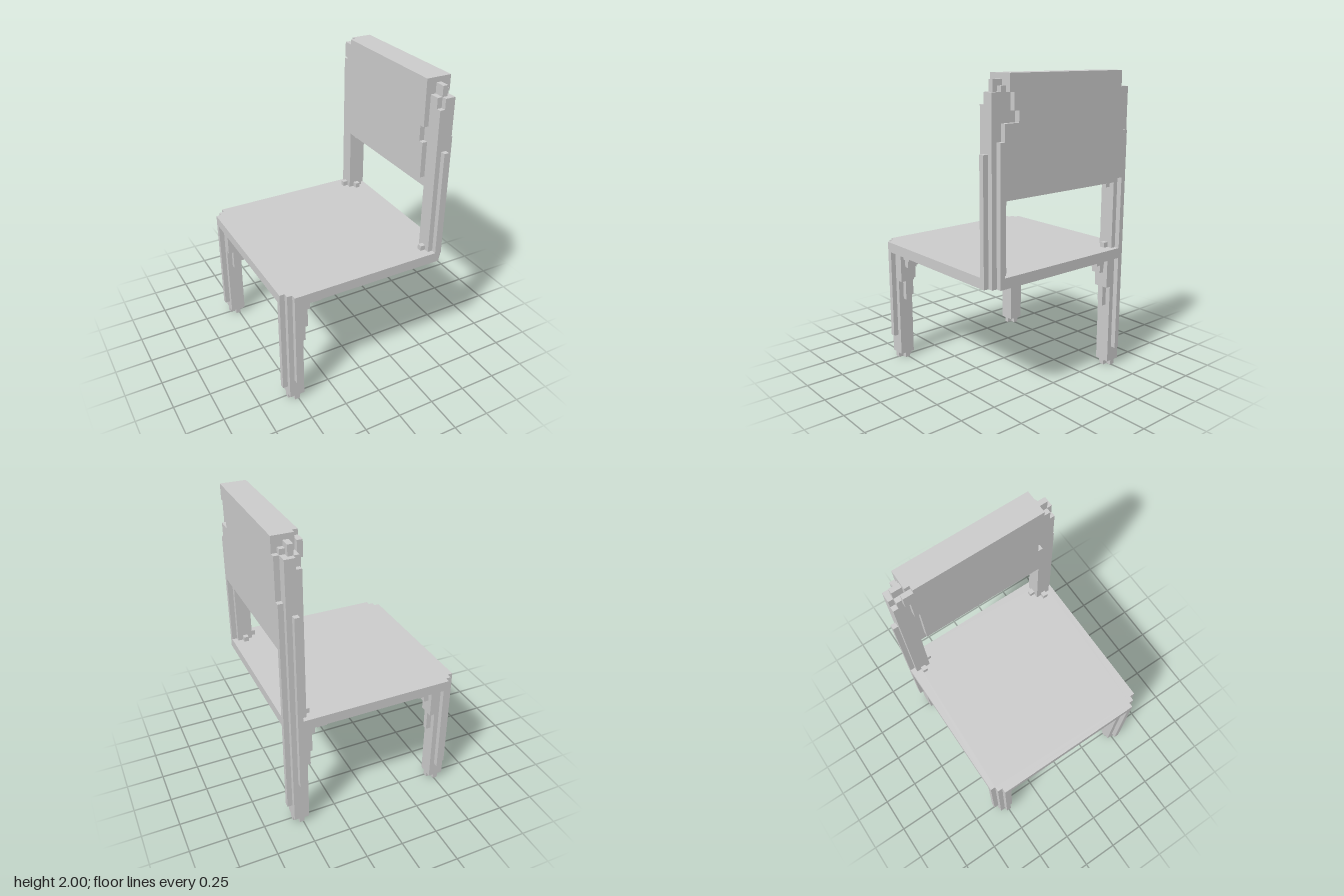
import * as THREE from 'three';

const U = 2 / 59; // edge of one cell
const N = 35;     // cells across the footprint
const material = new THREE.MeshStandardMaterial({ color: 0xcccccc, flatShading: true });

// Box given by cell ranges, counted from the -x, bottom and -z sides
function block(parent, name, x0, x1, y0, y1, z0, z1) {
  const mesh = new THREE.Mesh(new THREE.BoxGeometry((x1 - x0) * U, (y1 - y0) * U, (z1 - z0) * U), material);
  mesh.position.set(((x0 + x1 - N) / 2) * U, ((y0 + y1) / 2) * U, ((z0 + z1 - N) / 2) * U);
  mesh.name = name;
  parent.add(mesh);
}

// Returns a block maker whose x and z cells are counted inward from one corner
function cornerMaker(parent, sx, sz) {
  const range = (s, a, b) => (s < 0 ? [a, b] : [N - b, N - a]);
  return (name, x0, x1, y0, y1, z0, z1) =>
    block(parent, name, ...range(sx, x0, x1), y0, y1, ...range(sz, z0, z1));
}

function makeLeg(name, sx, sz, xRibStart, zRibStart) {
  const leg = new THREE.Group();
  leg.name = name;
  const add = cornerMaker(leg, sx, sz);
  // Shaft on a plus-shaped foot
  add('shaft', 1, 4, 1, 23, 1, 4);
  add('foot', 1, 4, 0, 1, 2, 3);
  add('footFront', 2, 3, 0, 1, 1, 2);
  add('footBack', 2, 3, 0, 1, 3, 4);
  // Outer ribs
  add('outerRib', 0, 1, xRibStart, 23, 2, 3);
  add('outerRib', 2, 3, zRibStart, 23, 0, 1);
  // Stepped brackets along both inner sides: [inner from, inner to, bottom, side from, side to]
  const steps = [[4, 5, 13, 2, 3], [4, 5, 17, 1, 2], [4, 5, 17, 3, 4], [5, 6, 20, 2, 4], [6, 8, 22, 1, 4]];
  for (const [a, b, y, c, d] of steps) {
    add('bracket', a, b, y, 23, c, d);
    add('bracket', c, d, y, 23, a, b);
  }
  add('bracketCorner', 4, 5, 20, 23, 4, 5);
  add('bracketCorner', 4, 6, 22, 23, 4, 6);
  return leg;
}

function makePost(name, sz) {
  const post = new THREE.Group();
  post.name = name;
  const add = cornerMaker(post, 1, sz);
  add('shaft', 1, 4, 25, 54, 1, 4);
  // Stepped top
  add('top', 1, 3, 54, 56, 1, 4);
  add('top', 3, 4, 54, 56, 2, 4);
  add('top', 2, 3, 56, 58, 2, 4);
  add('top', 1, 2, 56, 57, 3, 4);
  // Outer ribs
  add('outerRib', 0, 1, 25, 48, 2, 3);
  add('outerRib', 2, 3, 25, 46, 0, 1);
  // Small blocks at the seat and under the panel
  add('cornerBlock', 4, 5, 25, 26, 2, 3);
  add('cornerBlock', 2, 3, 25, 26, 4, 5);
  add('cornerBlock', 2, 3, 37, 38, 4, 5);
  return post;
}

// Seat slab with stepped corners
function makeSeat() {
  const corner = [[0, 2], [1, 2], [1, 1], [2, 1], [2, 0]];
  const points = [];
  for (const [sx, sz] of [[0, 0], [1, 0], [1, 1], [0, 1]]) {
    const c = corner.map(([x, z]) => new THREE.Vector2((sx ? N - x : x) - N / 2, (sz ? N - z : z) - N / 2).multiplyScalar(U));
    points.push(...(sx !== sz ? c.reverse() : c));
  }
  const geometry = new THREE.ExtrudeGeometry(new THREE.Shape(points), { depth: 2 * U, bevelEnabled: false });
  geometry.rotateX(-Math.PI / 2).translate(0, 23 * U, 0);
  const seat = new THREE.Mesh(geometry, material);
  seat.name = 'seat';
  return seat;
}

function makeBackPanel() {
  const panel = new THREE.Group();
  panel.name = 'backPanel';
  block(panel, 'core', 31, 34, 38, 59, 4, 31);
  // Outer layer with uneven ends: [bottom, top, back end, front end]
  for (const [y0, y1, z0, z1] of [[39, 48, 3, 32], [48, 51, 3, 32], [51, 53, 3, 29], [53, 56, 3, 30], [56, 59, 4, 31]])
    block(panel, 'outerLayer', 34, 35, y0, y1, z0, z1);
  // Inner layer
  for (const [y0, y1, z0, z1] of [[40, 47, 5, 31], [47, 50, 5, 30], [50, 55, 4, 31], [55, 58, 3, 31], [58, 59, 5, 31]])
    block(panel, 'innerLayer', 30, 31, y0, y1, z0, z1);
  return panel;
}

export function createModel() {
  const chair = new THREE.Group();
  chair.name = 'chair';
  // Three legs; the fourth corner is left open
  chair.add(
    makeSeat(),
    makeLeg('legFrontMinusX', -1, 1, 3, 5),
    makeLeg('legBackMinusX', -1, -1, 3, 4),
    makeLeg('legBackPlusX', 1, -1, 4, 10),
    makePost('postBack', -1),
    makePost('postFront', 1),
    makeBackPanel(),
  );
  return chair;
}
